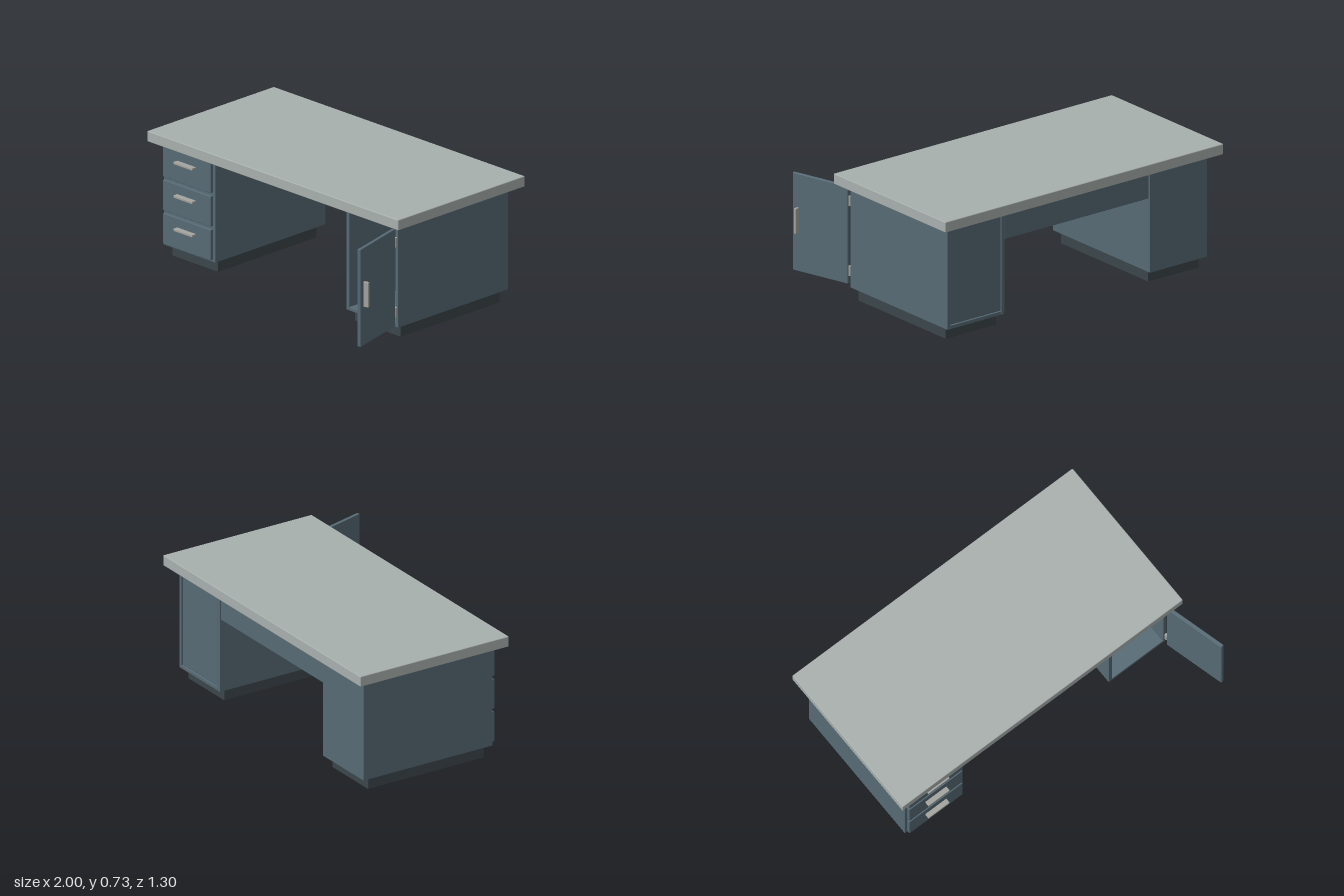
import * as THREE from 'three';
import { RoundedBoxGeometry } from 'three/addons/geometries/RoundedBoxGeometry.js';

export function createModel() {
  const mat = (name, color) => {
    const m = new THREE.MeshStandardMaterial({ color });
    m.name = name;
    return m;
  };
  const grey = mat('worktop grey', 0xa8b0ae);
  const blue = mat('steel blue', 0x566a75);
  const dark = mat('plinth dark', 0x3b464a);
  const metal = mat('handle metal', 0xa3a49f);

  const desk = new THREE.Group();
  desk.name = 'desk';

  // Softly edged box given by its limits on each axis
  const box = (parent, name, material, [x0, x1], [y0, y1], [z0, z1], r = 0.003) => {
    const mesh = new THREE.Mesh(new RoundedBoxGeometry(x1 - x0, y1 - y0, z1 - z0, 1, r), material);
    mesh.position.set((x0 + x1) / 2, (y0 + y1) / 2, (z0 + z1) / 2);
    mesh.name = name;
    parent.add(mesh);
    return mesh;
  };
  const group = (name) => {
    const g = new THREE.Group();
    g.name = name;
    desk.add(g);
    return g;
  };

  const back = -0.585, front = 0.262;

  // Worktop and the panel joining the pedestals at the back
  box(desk, 'worktop', grey, [-1, 0.945], [0.67, 0.732], [-0.648, 0.325], 0.005);
  box(desk, 'modestyPanel', blue, [-0.532, 0.477], [0.503, 0.662], [-0.58, -0.49]);

  // Plinths
  for (const x of [-0.735, 0.68])
    box(desk, 'plinth', dark, [x - 0.177, x + 0.177], [0, 0.07], [-0.54, 0.22]);

  // Drawer pedestal
  const drawers = group('drawerPedestal');
  box(drawers, 'drawerCase', blue, [-0.935, -0.535], [0.07, 0.67], [back, front]);
  for (const [y0, y1, grip] of [[0.085, 0.263, 0.203], [0.282, 0.458, 0.397], [0.477, 0.655, 0.592]]) {
    box(drawers, 'drawerFront', blue, [-0.92, -0.55], [y0, y1], [front, 0.283]);
    box(drawers, 'drawerHandle', metal, [-0.81, -0.663], [grip - 0.0075, grip + 0.0075], [0.281, 0.313]);
  }

  // Open cupboard made from separate boards
  const cupboard = group('cupboard');
  const t = 0.022, cx = [0.48, 0.88];
  box(cupboard, 'innerSide', blue, [cx[0], cx[0] + t], [0.07, 0.67], [back, front]);
  box(cupboard, 'outerSide', blue, [cx[1] - t, cx[1]], [0.07, 0.67], [back, front]);
  box(cupboard, 'cupboardFloor', blue, [cx[0] + t, cx[1] - t], [0.07, 0.07 + t], [back, front]);
  box(cupboard, 'cupboardCeiling', blue, [cx[0] + t, cx[1] - t], [0.67 - t, 0.67], [back, front]);
  box(cupboard, 'cupboardBack', blue, [cx[0] + t, cx[1] - t], [0.07 + t, 0.67 - t], [back + 0.008, back + 0.028]);

  // Door swung open past square, with its handle on the outer face
  const door = group('door');
  door.position.set(0.87, 0, 0.287);
  door.rotation.y = THREE.MathUtils.degToRad(15);
  box(door, 'doorPanel', blue, [-0.01, 0.01], [0.085, 0.652], [0, 0.372]);
  box(door, 'doorHandle', metal, [0.009, 0.041], [0.31, 0.457], [0.3275, 0.3425]);

  // Hinges
  for (const y of [0.163, 0.57]) {
    const hinge = new THREE.Mesh(new THREE.CylinderGeometry(0.01, 0.01, 0.056, 16), metal);
    hinge.position.set(0.87, y, 0.274);
    hinge.name = 'hinge';
    desk.add(hinge);
  }
  return desk;
}
